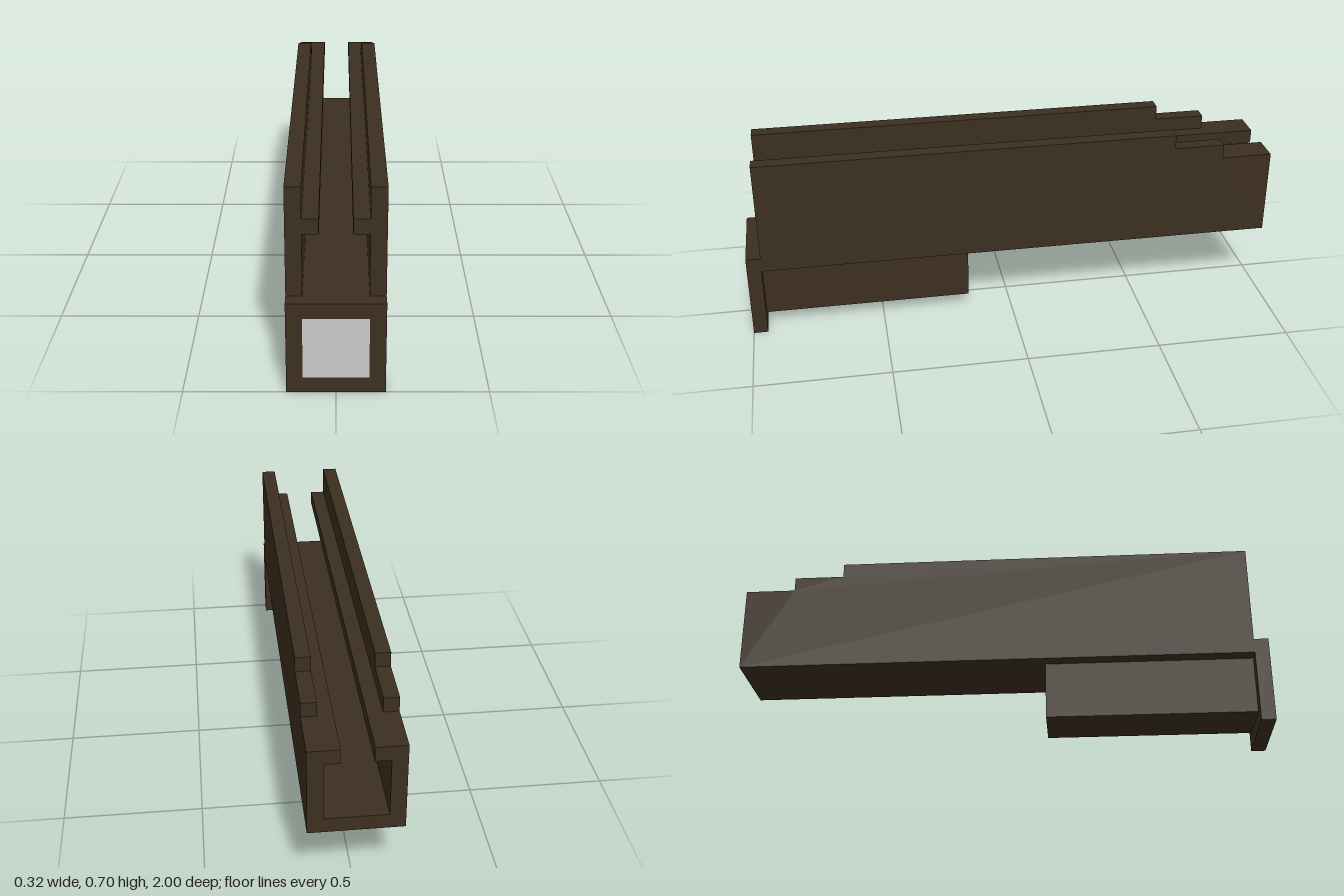
import * as THREE from 'three';

const T = 0.054;            // wall thickness, the module of every section
const BACK = -1, JOINT = 0.946, FRONT = 1;

export function createModel() {
  const model = new THREE.Group();
  const brown = new THREE.MeshStandardMaterial({ color: 0x3c2f20 });
  const grey = new THREE.MeshStandardMaterial({ color: 0xcccccc });

  const add = (name, geometry, material = brown) => {
    const mesh = new THREE.Mesh(geometry, material);
    mesh.name = name;
    model.add(mesh);
    return mesh;
  };
  // Box given by its minimum and maximum corners
  const block = (name, [x0, y0, z0], [x1, y1, z1], material) =>
    add(name, new THREE.BoxGeometry(x1 - x0, y1 - y0, z1 - z0), material)
      .position.set((x0 + x1) / 2, (y0 + y1) / 2, (z0 + z1) / 2);

  // Side wall outline in (z, y), stepped down at the back
  const wall = new THREE.Shape([
    [BACK, 5 * T], [JOINT, 5 * T], [JOINT, 13 * T], [-0.62, 13 * T],
    [-0.62, 12 * T], [-0.81, 12 * T], [-0.81, 11 * T], [BACK, 11 * T],
  ].map(([z, y]) => new THREE.Vector2(z, y)));

  // Channel: floor, two stepped walls, two inner lips
  block('channelFloor', [-2 * T, 5 * T, BACK], [2 * T, 6 * T, JOINT]);
  for (const [side, s] of [['left', 1], ['right', -1]]) {
    const geometry = new THREE.ExtrudeGeometry(wall, { depth: T, bevelEnabled: false });
    geometry.rotateY(-Math.PI / 2);
    geometry.translate(s * 2.5 * T + T / 2, 0, 0);
    add(side + 'Wall', geometry);
    const xs = [s * T, s * 2 * T].sort((a, b) => a - b);
    block(side + 'Lip', [xs[0], 10 * T, BACK], [xs[1], 11 * T, JOINT]);
  }

  // Housing hanging below the front of the channel
  block('lowerHousing', [-2 * T, T, 0.165], [2 * T, 5 * T, JOINT]);

  // Square front frame around a flush grey lens
  const rect = (Type, x, y0, y1) => new Type([
    new THREE.Vector2(-x, y0), new THREE.Vector2(x, y0),
    new THREE.Vector2(x, y1), new THREE.Vector2(-x, y1),
  ]);
  const frame = rect(THREE.Shape, 3 * T, 0, 6 * T);
  frame.holes.push(rect(THREE.Path, 2 * T, T, 5 * T));
  const frameGeometry = new THREE.ExtrudeGeometry(frame, { depth: FRONT - JOINT, bevelEnabled: false });
  add('frontFrame', frameGeometry.translate(0, 0, JOINT));
  block('frontLens', [-2 * T, T, JOINT], [2 * T, 5 * T, FRONT], grey);

  return model;
}
